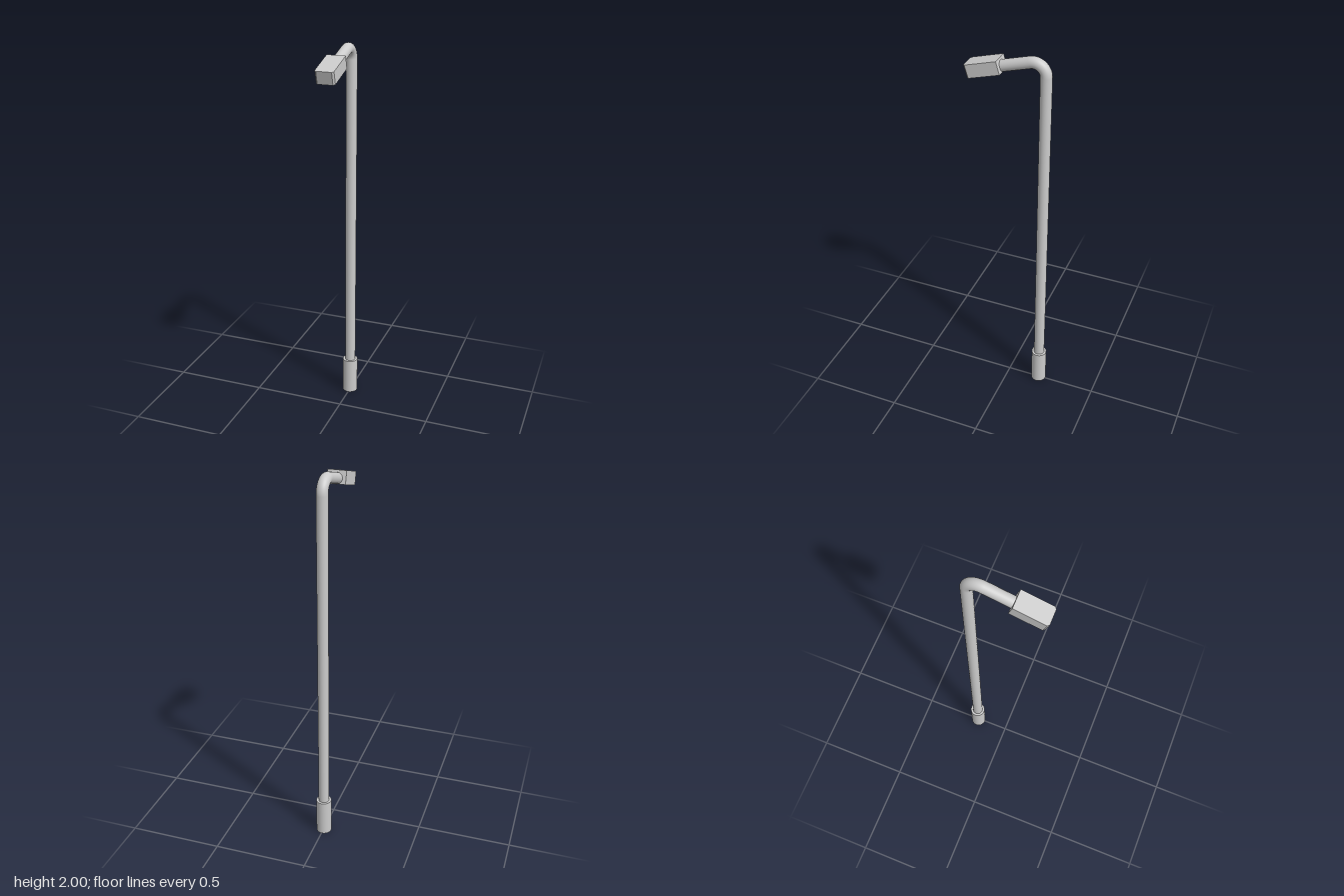
import * as THREE from 'three';

export function createModel() {
  const model = new THREE.Group();
  model.name = 'streetLamp';
  const material = new THREE.MeshStandardMaterial({ color: 0xcccccc });

  const poleX = -0.002, poleZ = -0.178;
  const poleRadius = 0.0285, bendRadius = 0.062;
  const tilt = THREE.MathUtils.degToRad(16); // downward slope of arm and head
  const bendY = 1.9715 - bendRadius;

  function add(name, geometry, parent = model) {
    const mesh = new THREE.Mesh(geometry, material);
    mesh.name = name;
    parent.add(mesh);
    return mesh;
  }

  // Base sleeve
  add('base', new THREE.CylinderGeometry(0.041, 0.041, 0.2, 32))
    .position.set(poleX, 0.1, poleZ);

  // Upright pole, from inside the sleeve to the start of the bend
  const poleBottom = 0.18;
  add('pole', new THREE.CylinderGeometry(poleRadius, poleRadius, bendY - poleBottom, 32, 1, true))
    .position.set(poleX, (bendY + poleBottom) / 2, poleZ);

  // Bend turning past horizontal towards the front
  const bend = add('bend', new THREE.TorusGeometry(bendRadius, poleRadius, 32, 20, Math.PI / 2 + tilt));
  bend.position.set(poleX, bendY, poleZ + bendRadius);
  bend.rotation.y = Math.PI / 2;

  // Straight sloping arm, ending just inside the head
  const arm = new THREE.Group();
  arm.name = 'arm';
  arm.position.set(
    poleX,
    bendY + bendRadius * Math.cos(tilt),
    poleZ + bendRadius * (1 + Math.sin(tilt))
  );
  arm.rotation.x = tilt;
  model.add(arm);
  const armLength = 0.145;
  const armTube = new THREE.CylinderGeometry(poleRadius, poleRadius, armLength, 32);
  armTube.rotateX(Math.PI / 2).translate(0, 0, armLength / 2);
  add('armTube', armTube, arm);

  // Lamp head: a box with its two front corners cut off
  const halfWidth = 0.048, length = 0.173, height = 0.067, cut = 0.009;
  const outline = new THREE.Shape([
    [-halfWidth, 0],
    [halfWidth, 0],
    [halfWidth, length - cut],
    [halfWidth - cut, length],
    [-halfWidth + cut, length],
    [-halfWidth, length - cut],
  ].map(([x, y]) => new THREE.Vector2(x, y)));
  const headGeometry = new THREE.ExtrudeGeometry(outline, { depth: height, bevelEnabled: false });
  headGeometry.rotateX(Math.PI / 2).translate(0, height / 2, 0);
  const head = add('lampHead', headGeometry);
  head.position.set(0, 1.9355, 0.0415);
  head.rotation.x = tilt;

  return model;
}
